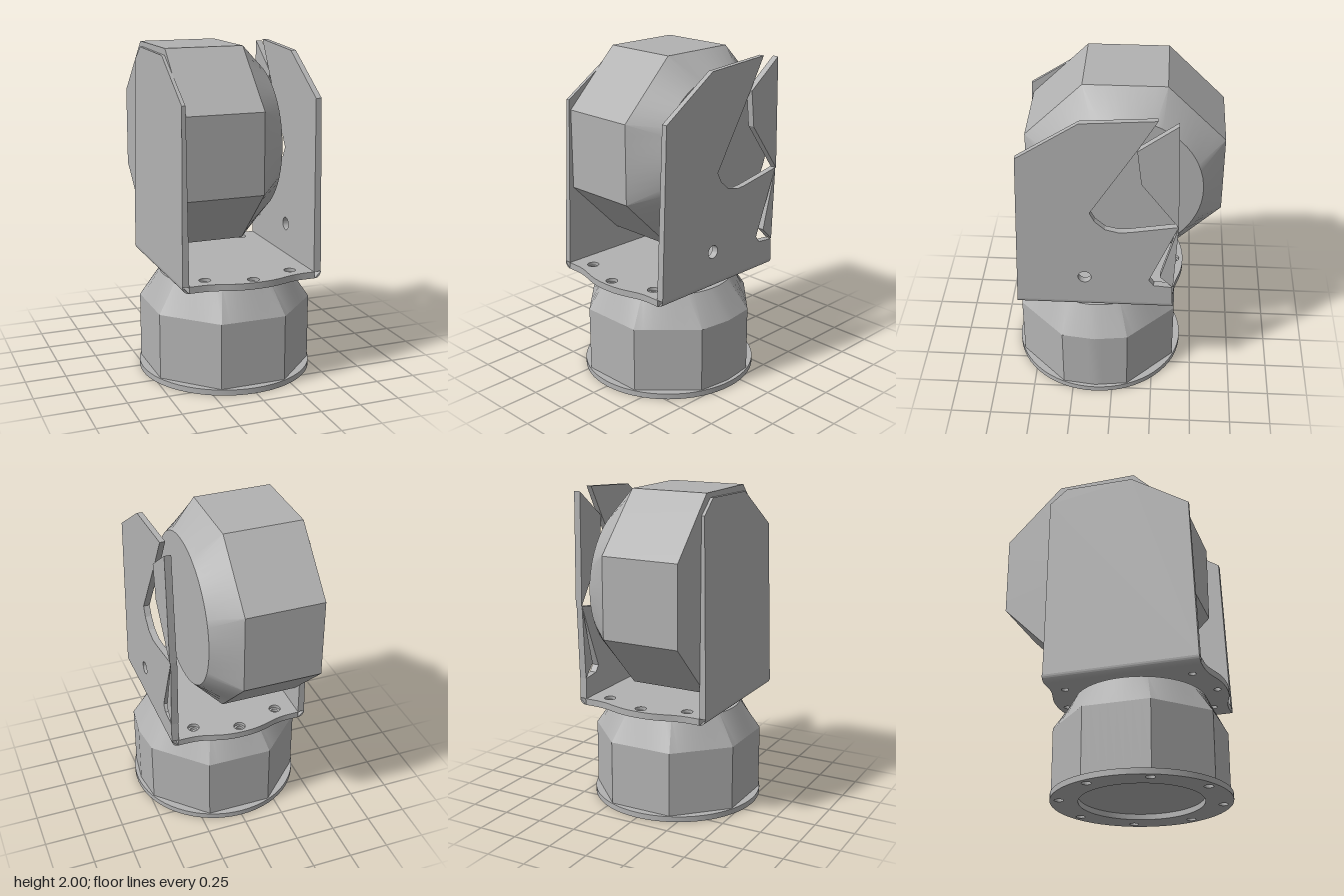
import * as THREE from 'three';
import { toCreasedNormals } from 'three/addons/utils/BufferGeometryUtils.js';

const metal = new THREE.MeshStandardMaterial({ color: 0xb2b2b2 });
metal.name = 'light grey metal';
const CZ = 0.107; // z of the base axis

function part(group, name, geo, x = 0, y = 0, z = 0) {
  const mesh = new THREE.Mesh(toCreasedNormals(geo, 0.35), metal);
  mesh.name = name;
  mesh.position.set(x, y, z);
  group.add(mesh);
  return mesh;
}

// Octagonal drum along y whose far end blends into a round cap
function drum(inner, capRadius, y0, y1, y2, bulge = 0) {
  const N = 64, pos = [], index = [];
  const step = Math.PI / 4;
  [y0, y1, y2].forEach((y, k) => {
    for (let i = 0; i < N; i++) {
      const a = (i / N) * Math.PI * 2;
      const d = a - Math.round(a / step) * step;
      const r = k === 2 ? capRadius : inner / Math.cos(d);
      let x = r * Math.cos(a);
      const z = r * Math.sin(a);
      if (k < 2 && x > inner - 0.001) x += bulge * (1 - Math.abs(z) / (inner * Math.tan(step / 2)));
      pos.push(x, y, z);
    }
  });
  pos.push(0, y0, 0, 0, y2, 0);
  for (let i = 0; i < N; i++) {
    const j = (i + 1) % N;
    for (const b of [0, N]) index.push(b + i, b + N + i, b + N + j, b + i, b + N + j, b + j);
    index.push(3 * N, i, j, 3 * N + 1, 2 * N + j, 2 * N + i);
  }
  const geo = new THREE.BufferGeometry();
  geo.setAttribute('position', new THREE.Float32BufferAttribute(pos, 3));
  geo.setIndex(index);
  return geo;
}

function addHole(shape, x, y, r) {
  shape.holes.push(new THREE.Path().absarc(x, y, r, 0, Math.PI * 2, true));
}

function extrude(shape, depth) {
  return new THREE.ExtrudeGeometry(shape, { depth, bevelEnabled: false, curveSegments: 16 });
}

// Horizontal slab: shape x stays x, shape y becomes -z, thickness goes up
const slab = (shape, depth) => extrude(shape, depth).rotateX(-Math.PI / 2);

// Upright plate from [z, y] points; low and high give x at its foot and top
function upright(points, low, high, hole) {
  const shape = new THREE.Shape(points.map(p => new THREE.Vector2(...p)));
  if (hole) addHole(shape, ...hole);
  const geo = extrude(shape, 0.04).rotateY(-Math.PI / 2);
  const p = geo.attributes.position;
  for (let i = 0; i < p.count; i++) {
    const side = p.getX(i) > -0.02 ? 1 : 0;
    const t = (p.getY(i) - 0.69) / 1.3;
    p.setX(i, low[side] + (high[side] - low[side]) * t);
  }
  return geo;
}

export function createModel() {
  const model = new THREE.Group();
  model.name = 'panTiltHead';

  // Round flange with bolt holes and a recess underneath
  const disc = new THREE.Shape().absarc(0, 0, 0.535, 0, Math.PI * 2, false);
  disc.curves[0].aEndAngle = Math.PI * 2;
  addHole(disc, 0, 0, 0.37);
  for (let i = 0; i < 8; i++) {
    const a = (i + 0.5) * Math.PI / 4;
    addHole(disc, 0.48 * Math.cos(a), 0.48 * Math.sin(a), 0.028);
  }
  const flange = new THREE.ExtrudeGeometry(disc, { depth: 0.035, bevelEnabled: false, curveSegments: 32 });
  part(model, 'baseFlange', flange.rotateX(-Math.PI / 2), 0, 0, CZ);

  // Eight-sided base
  part(model, 'baseBody', drum(0.488, 0.4, 0.034, 0.44, 0.625, 0.026), 0, 0, CZ);

  // Bracket floor with curved front and back lips, and stepped holes
  const bracket = new THREE.Group();
  bracket.name = 'bracket';
  model.add(bracket);
  [['bracketFloorLower', 0.65, 0.022], ['bracketFloorUpper', 0.67, 0.035]].forEach(([name, y, r]) => {
    const s = new THREE.Shape();
    s.moveTo(-0.395, -0.475);
    for (const d of [1, -1]) {
      s.lineTo(-0.33 * d, -0.475 * d);
      s.bezierCurveTo(-0.2 * d, -0.475 * d, -0.17 * d, -0.533 * d, 0, -0.533 * d);
      s.bezierCurveTo(0.17 * d, -0.533 * d, 0.2 * d, -0.475 * d, 0.33 * d, -0.475 * d);
      s.lineTo(0.395 * d, -0.475 * d);
      s.lineTo(0.395 * d, 0.475 * d);
    }
    for (const d of [1, -1]) {
      addHole(s, 0, 0.475 * d, r);
      for (const x of [-0.27, 0.27]) addHole(s, x, 0.39 * d, r);
    }
    part(bracket, name, slab(s, 0.02), 0, y, CZ);
  });

  // Rounded bends between floor and sides
  for (const d of [1, -1]) {
    const bend = new THREE.Shape();
    bend.moveTo(0, 0);
    bend.absarc(0, 0, 0.04, d > 0 ? -Math.PI / 2 : Math.PI, d > 0 ? 0 : Math.PI * 1.5, false);
    part(bracket, d > 0 ? 'leftBend' : 'rightBend', extrude(bend, 0.95), 0.395 * d, 0.69, CZ - 0.475);
  }

  // Broken left side plate with its loose splinters
  const low = [0.39, 0.435], high = [0.4, 0.432];
  part(bracket, 'leftPlate', upright([
    [0.58, 0.69], [0.54, 1.72], [0.18, 1.96], [-0.25, 1.99], [-0.14, 1.8], [0.13, 1.36],
    [0.1, 1.3], [0.04, 1.245], [-0.04, 1.225], [-0.1, 1.23], [-0.385, 1.28],
    [-0.22, 0.87], [-0.25, 0.83], [-0.36, 0.82], [-0.365, 0.69],
  ], low, high, [0.165, 0.88, 0.04]));
  part(bracket, 'leftUpperSplinter', upright([
    [-0.365, 1.97], [-0.14, 1.8], [-0.165, 1.58], [-0.385, 1.28],
  ], low, [0.405, 0.445]));
  part(bracket, 'leftLowerSplinter', upright([
    [-0.385, 1.28], [-0.285, 0.9], [-0.365, 0.82],
  ], low, high));

  // Right side plate, thinning towards its top
  part(bracket, 'rightPlate', upright([
    [0.58, 0.69], [0.54, 1.72], [0.18, 1.96], [-0.25, 1.97], [-0.36, 1.88], [-0.365, 0.69],
  ], [-0.435, -0.394], [-0.412, -0.394]));

  // Octagonal tilting head with a round cap facing left
  const head = drum(0.585, 0.465, -0.395, 0.085, 0.25).rotateZ(-Math.PI / 2);
  part(model, 'tiltHead', head, 0, 1.415, -0.055);

  return model;
}
